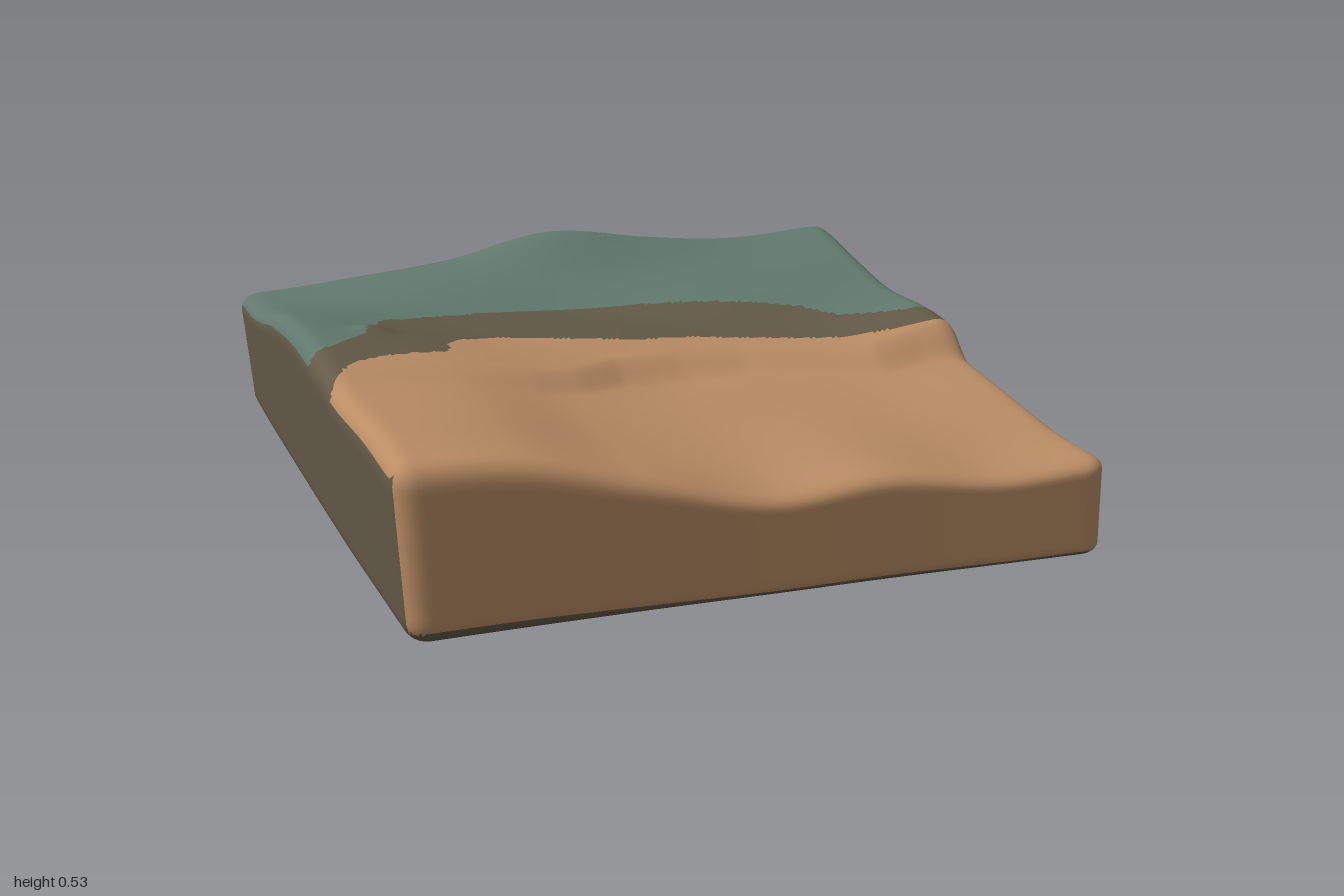
import * as THREE from 'three';
import { mergeVertices } from 'three/addons/utils/BufferGeometryUtils.js';

const { clamp, lerp, smoothstep } = THREE.MathUtils;
const R = 0.065; // edge radius
const H = 0.5; // height of the block before it is shaped

// Surface heights: rows run back to front, columns from x = -1 to 1
const plateau = {
  z: [-0.95, -0.7, -0.4, -0.1, 0.15],
  rows: [
    [0.42, 0.44, 0.47, 0.53, 0.49, 0.465, 0.48],
    [0.44, 0.44, 0.44, 0.44, 0.43, 0.435, 0.44],
    [0.5, 0.46, 0.42, 0.40, 0.4, 0.4, 0.41],
    [0.54, 0.49, 0.44, 0.41, 0.39, 0.38, 0.42],
    [0.53, 0.5, 0.44, 0.39, 0.38, 0.37, 0.41],
  ],
};
const lowland = {
  z: [0.1, 0.4, 0.7, 0.95],
  rows: [
    [0.53, 0.49, 0.42, 0.34, 0.33, 0.32, 0.33],
    [0.51, 0.48, 0.39, 0.34, 0.32, 0.3, 0.3],
    [0.51, 0.48, 0.38, 0.32, 0.31, 0.28, 0.28],
    [0.5, 0.475, 0.38, 0.295, 0.315, 0.265, 0.28],
  ],
};

// Borders as [position, value] points
const ledge = [[-1, 0.3], [-0.4, 0.27], [-0.25, 0.22], [-0.1, 0.12], [0.1, 0.08],
  [0.3, 0.06], [0.5, 0.1], [0.7, 0.14], [0.85, 0.1], [1, 0.08]];
const greenEdge = [[-1, 0.12], [-0.9, 0.05], [-0.8, -0.05], [-0.72, -0.25], [-0.68, -0.36],
  [-0.5, -0.44], [-0.35, -0.47], [0.1, -0.48], [0.3, -0.44], [0.5, -0.38], [0.62, -0.32],
  [0.7, -0.2], [0.85, -0.13], [1, -0.1]];
const tanEdge = [[-1, 0.38], [-0.97, 0.33], [-0.9, 0.22], [-0.8, 0.16], [-0.6, 0.1],
  [-0.575, 0], [-0.52, -0.07], [-0.4, -0.13], [-0.2, -0.12], [0, -0.1], [0.2, -0.12],
  [0.4, -0.07], [0.6, -0.02], [0.8, 0], [1, 0]];
const sideGreen = [[-0.95, 0.35], [-0.8, 0.29], [-0.75, 0.23], [-0.6, 0.2], [-0.53, 0.2],
  [-0.48, 0.29], [-0.3, 0.3], [-0.2, 0.34], [-0.1, 0.41], [-0.05, 0.6]];
const sideTan = [[-0.79, 0.09], [-0.77, 0.14], [-0.65, 0.16], [-0.5, 0.2], [-0.3, 0.22],
  [-0.2, 0.26], [-0.1, 0.33], [0, 0.42], [0.05, 0.6]];
const sideBottom = [[-0.79, 0.09], [-0.6, 0.08], [-0.3, 0.06], [0, 0.04], [1, 0.025]];

function along(points, p) {
  if (p <= points[0][0]) return points[0][1];
  for (let i = 1; i < points.length; i++) {
    const [a, va] = points[i - 1], [b, vb] = points[i];
    if (p <= b) return lerp(va, vb, (p - a) / (b - a));
  }
  return points[points.length - 1][1];
}

// Smooth curve through a list of values, f is a fractional index
function spline(v, f) {
  const n = v.length - 1, i = Math.min(Math.floor(f), n - 1), t = f - i;
  const a = v[Math.max(i - 1, 0)], b = v[i], c = v[i + 1], d = v[Math.min(i + 2, n)];
  return b + 0.5 * t * (c - a + t * (2 * a - 5 * b + 4 * c - d + t * (3 * (b - c) + d - a)));
}

function sheet({ z: zs, rows }, x, z) {
  const f = clamp((x + 1) * 3, 0, 6);
  return spline(rows.map((r) => spline(r, f)), along(zs.map((v, i) => [v, i]), z));
}

function topHeight(x, z) {
  const front = smoothstep(z - along(ledge, x), -0.07, 0.07);
  const knoll = 0.018 * Math.exp(-((x + 0.76) ** 2 + (z + 0.12) ** 2) / 0.003);
  const ripple = 0.004 * Math.sin(7 * x + 3 * z) * Math.sin(8 * z - 2 * x);
  return lerp(sheet(plateau, x, z), sheet(lowland, x, z), front) + knoll + ripple;
}

// Rounded block point and its outward direction
function rounded(p) {
  const core = new THREE.Vector3(
    clamp(p.x, -1 + R, 1 - R), clamp(p.y, R, H - R), clamp(p.z, -1 + R, 1 - R));
  const normal = p.clone().sub(core).normalize();
  return { point: core.addScaledVector(normal, R), normal };
}

// Bend the rounded block into the terrain slab
function shape(p) {
  const { x, y, z } = p, t = y / H;
  const right = 0.972 - 0.015 * z;
  const left = -0.955 - 0.03 * t - 0.012 * Math.cos(z * Math.PI / 2);
  const front = 0.96 - 0.02 * x + 0.015 * x * x;
  const back = -0.95 - 0.03 * t - 0.02 * Math.exp(-((x + 0.1) ** 2) / 0.15);
  const bottom = Math.max(0, 0.031 - 0.015 * x - 0.015 * z);
  return new THREE.Vector3(
    lerp(left, right, (x + 1) / 2),
    lerp(bottom, topHeight(x, z), t),
    lerp(back, front, (z + 1) / 2));
}

// 0 tan, 1 olive, 2 green
function region(n, p) {
  if (n.y < -0.4) return 1;
  if (n.x > 0.4 && n.x > Math.abs(n.z) && n.y < 0.75) {
    if (p.z < 0 && p.y > along(sideGreen, p.z)) return 2;
    if (p.z > -0.79 && p.y < along(sideTan, p.z) && p.y > along(sideBottom, p.z)) return 0;
    return p.z > 0.05 && p.y > along(sideBottom, p.z) ? 0 : 1;
  }
  if (n.y > 0.4) {
    if (p.z < along(greenEdge, p.x)) return 2;
    return p.z > along(tanEdge, p.x) ? 0 : 1;
  }
  return n.z > 0.4 ? 0 : 1;
}

export function createModel() {
  const materials = [['tan', 0xba8d64], ['olive', 0x635a47], ['green', 0x60796d]].map(
    ([name, color]) => {
      const m = new THREE.MeshStandardMaterial({ color });
      m.name = name;
      return m;
    });

  let geo = new THREE.BoxGeometry(2, H, 2, 124, 24, 124).translate(0, H / 2, 0);
  geo.deleteAttribute('uv');
  geo.deleteAttribute('normal');
  geo = mergeVertices(geo, 1e-4);
  const pos = geo.attributes.position;
  const normals = [], points = [];
  for (let i = 0; i < pos.count; i++) {
    const { point, normal } = rounded(new THREE.Vector3().fromBufferAttribute(pos, i));
    const q = shape(point);
    normals.push(normal);
    points.push(q);
    pos.setXYZ(i, q.x, q.y, q.z);
  }

  // Sort the faces by ground colour
  const faces = [[], [], []];
  const idx = geo.index.array;
  for (let i = 0; i < idx.length; i += 3) {
    const tri = [idx[i], idx[i + 1], idx[i + 2]];
    const n = new THREE.Vector3(), c = new THREE.Vector3();
    tri.forEach((k) => { n.add(normals[k]); c.addScaledVector(points[k], 1 / 3); });
    faces[region(n.normalize(), c)].push(...tri);
  }
  geo.setIndex(faces.flat());
  geo.clearGroups();
  let start = 0;
  faces.forEach((f, i) => {
    geo.addGroup(start, f.length, i);
    start += f.length;
  });
  geo.computeVertexNormals();

  const slab = new THREE.Mesh(geo, materials);
  slab.name = 'terrainBlock';
  const group = new THREE.Group();
  group.name = 'terrainTile';
  group.add(slab);
  return group;
}
